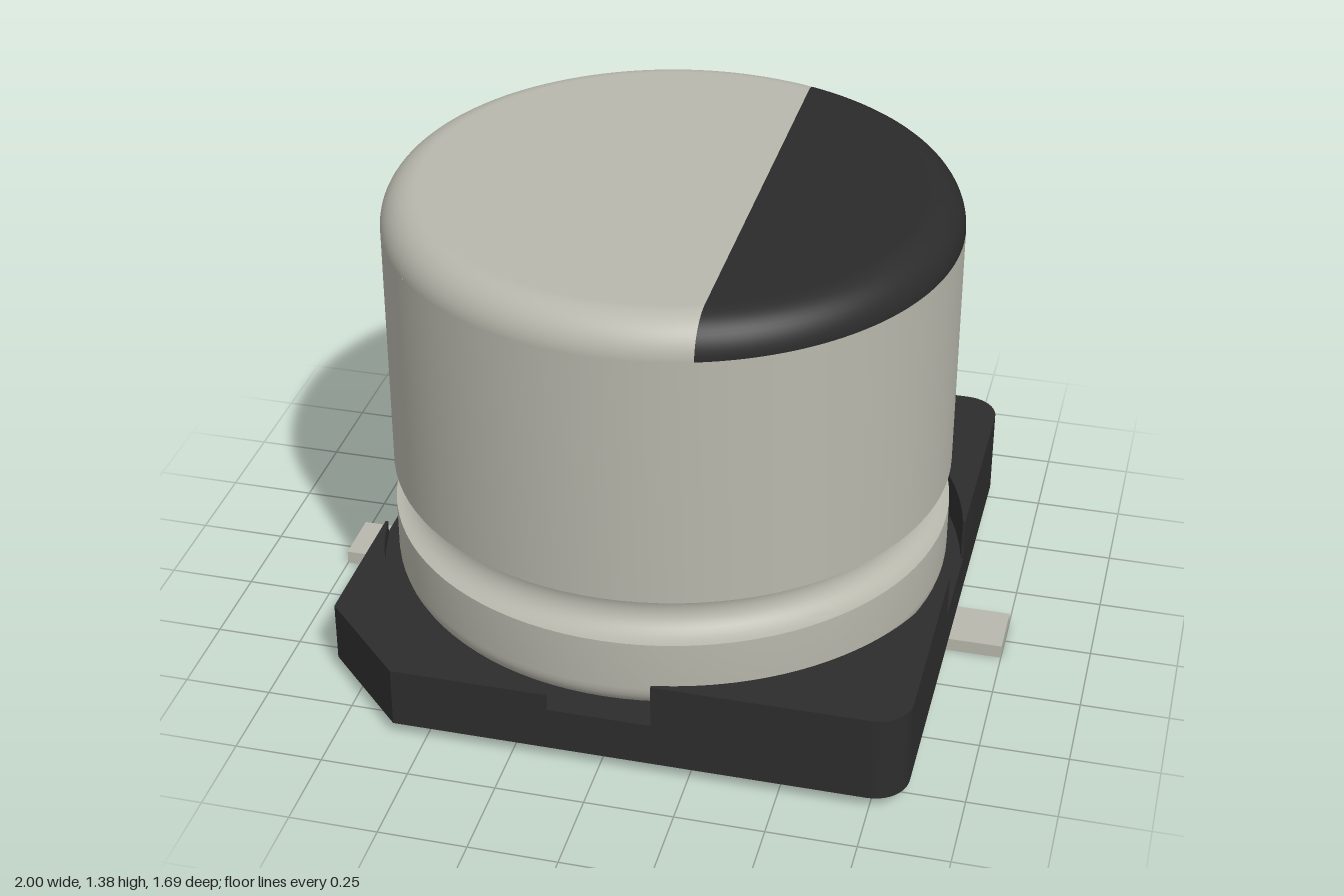
import * as THREE from 'three';
import { toCreasedNormals } from 'three/addons/utils/BufferGeometryUtils.js';

const HALF = 0.845, NOTCH = 0.147, RECESS = 0.85;
const BOTTOM = 0.04, FLOOR = 0.17;
const CAN_R = 0.805, CAP_R = 0.7, CAP_Y = 1.28, ROUND = 0.105, MARK_X = 0.245;

const material = (name, color, side = THREE.FrontSide) => {
  const m = new THREE.MeshStandardMaterial({ color, side });
  m.name = name;
  return m;
};

function add(group, name, geometry, mat) {
  const mesh = new THREE.Mesh(geometry, mat);
  mesh.name = name;
  group.add(mesh);
  return mesh;
}

// Points on an arc around (cx, cy)
function arc(cx, cy, r, from, to, steps) {
  return Array.from({ length: steps + 1 }, (_, i) => {
    const a = from + (to - from) * i / steps;
    return new THREE.Vector2(cx + r * Math.cos(a), cy + r * Math.sin(a));
  });
}

// Extrudes a plan outline upward between two heights
function slab(points, y0, y1) {
  const g = new THREE.ExtrudeGeometry(new THREE.Shape(points), { depth: y1 - y0, bevelEnabled: false });
  g.rotateX(-Math.PI / 2).translate(0, y0, 0);
  return toCreasedNormals(g, 0.5);
}

// Corner outline in the positive quadrant: rounded or chamfered
function cornerPoints(chamfered) {
  return chamfered
    ? [new THREE.Vector2(HALF, 0.592), new THREE.Vector2(0.592, HALF)]
    : arc(HALF - 0.1, HALF - 0.1, 0.1, 0, Math.PI / 2, 10);
}

// Rounded shoulder of the can between two angle limits that depend on radius
function shoulder(limits) {
  const rows = 12, cols = 80, pos = [], nor = [], index = [];
  for (let i = 0; i <= rows; i++) {
    const t = i / rows * Math.PI / 2;
    const r = CAP_R + ROUND * Math.cos(t), y = CAP_Y + ROUND * Math.sin(t);
    const [from, to] = limits(Math.acos(MARK_X / r));
    for (let j = 0; j <= cols; j++) {
      const a = from + (to - from) * j / cols;
      pos.push(r * Math.cos(a), y, r * Math.sin(a));
      nor.push(Math.cos(t) * Math.cos(a), Math.sin(t), Math.cos(t) * Math.sin(a));
      if (i < rows && j < cols) {
        const k = i * (cols + 1) + j, n = k + cols + 1;
        index.push(k, n, k + 1, k + 1, n, n + 1);
      }
    }
  }
  const g = new THREE.BufferGeometry();
  g.setAttribute('position', new THREE.Float32BufferAttribute(pos, 3));
  g.setAttribute('normal', new THREE.Float32BufferAttribute(nor, 3));
  g.setIndex(index);
  return g;
}

export function createModel() {
  const model = new THREE.Group();
  model.name = 'capacitor';
  const metal = material('aluminium', 0xb9b8ad);
  const dark = material('polarity black', 0x2b2b2b);
  const plastic = material('base plastic', 0x2d2d2e);

  // Base floor with two chamfered and two rounded corners
  const base = new THREE.Group();
  base.name = 'base';
  model.add(base);
  const flip = (pts, sx, sy) => pts.map(p => new THREE.Vector2(p.x * sx, p.y * sy));
  const outline = [
    ...cornerPoints(false),
    ...flip(cornerPoints(true), -1, 1).reverse(),
    ...flip(cornerPoints(true), -1, -1),
    ...flip(cornerPoints(false), 1, -1).reverse(),
  ];
  add(base, 'baseFloor', slab(outline, BOTTOM, FLOOR), plastic);

  // Corner walls around the round recess, taller on the left, notches between
  const a0 = Math.asin(NOTCH / RECESS);
  for (const sx of [-1, 1]) {
    for (const sz of [-1, 1]) {
      const pts = [
        new THREE.Vector2(HALF, NOTCH),
        ...cornerPoints(sx < 0),
        new THREE.Vector2(NOTCH, HALF),
        ...arc(0, 0, RECESS, Math.PI / 2 - a0, a0, 32),
      ];
      add(base, 'cornerWall', slab(flip(pts, sx, sz), FLOOR, sx < 0 ? 0.22 : 0.3), plastic);
    }
  }

  // Can body: rounded foot, crimp groove and straight wall
  const can = new THREE.Group();
  can.name = 'can';
  model.add(can);
  const profile = [
    new THREE.Vector2(0, 0.173),
    ...arc(CAN_R - 0.08, 0.253, 0.08, -Math.PI / 2, 0, 8),
    ...arc(CAN_R, 0.47, 0.07, -Math.PI / 2, -Math.PI * 1.5, 16),
    new THREE.Vector2(CAN_R, CAP_Y),
  ];
  add(can, 'canBody', toCreasedNormals(new THREE.LatheGeometry(profile, 96), 0.6), metal);

  // Shoulder and flat top, split along the polarity line
  const split = Math.acos(MARK_X / CAP_R);
  const parts = [
    ['polarityMark', dark, a => [-a, a]],
    ['canTop', metal, a => [a, Math.PI * 2 - a]],
  ];
  for (const [name, mat, limits] of parts) {
    add(can, name + 'Shoulder', shoulder(limits), mat);
    const [from, to] = limits(split);
    const flat = new THREE.ShapeGeometry(new THREE.Shape(arc(0, 0, CAP_R, from, to, 80)));
    flat.rotateX(-Math.PI / 2).translate(0, CAP_Y + ROUND, 0);
    add(can, name, flat, mat);
  }

  // Flat leads with rounded inner ends
  for (const sx of [-1, 1]) {
    const pts = [
      new THREE.Vector2(1, -0.083),
      new THREE.Vector2(1, 0.083),
      ...arc(0.313, 0, 0.083, Math.PI / 2, Math.PI * 1.5, 16),
    ];
    add(model, sx > 0 ? 'leftLead' : 'rightLead', slab(flip(pts, sx, 1), 0, BOTTOM), metal);
  }
  return model;
}
